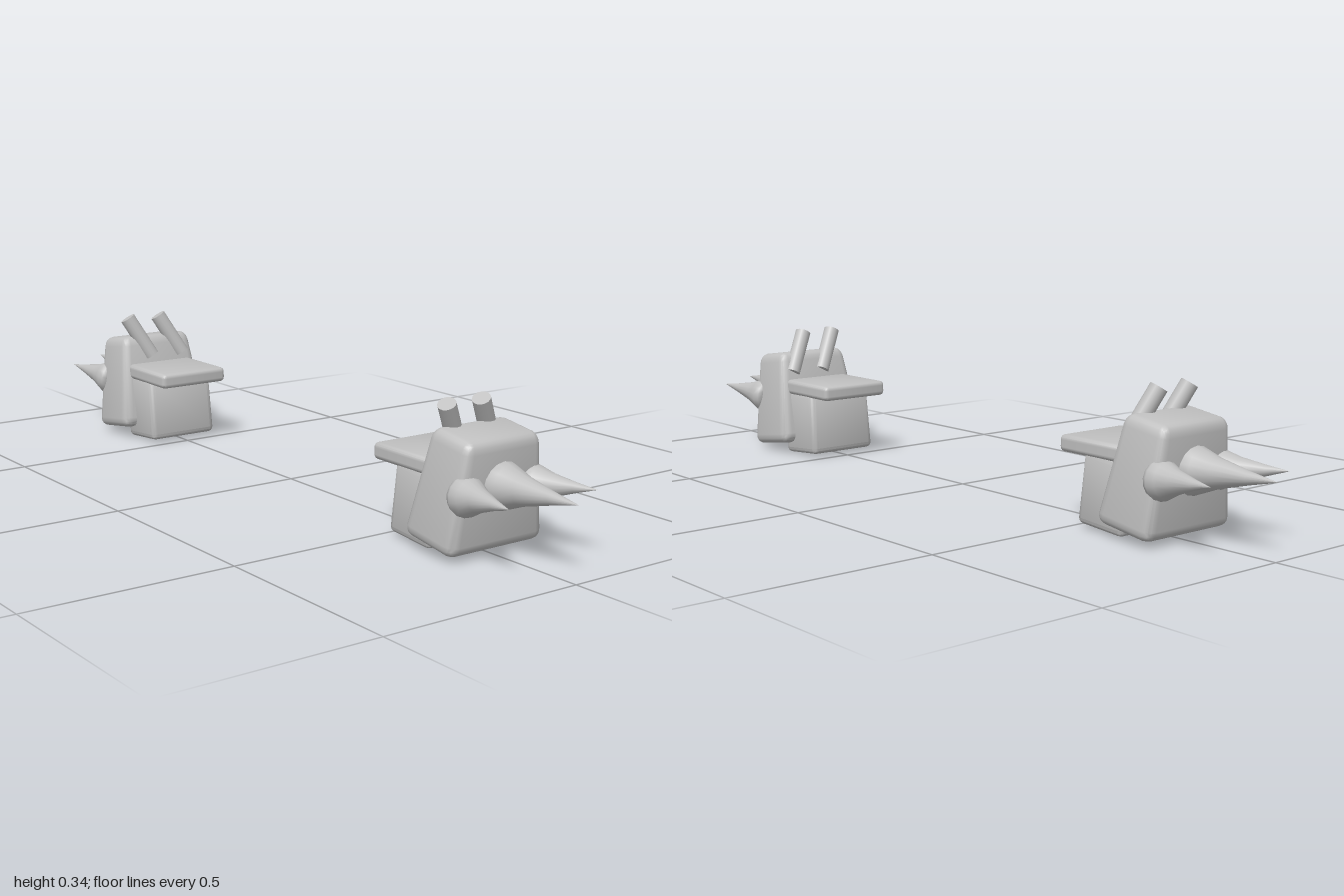
import * as THREE from 'three';
import { RoundedBoxGeometry } from 'three/addons/geometries/RoundedBoxGeometry.js';
import { toCreasedNormals } from 'three/addons/utils/BufferGeometryUtils.js';

const V = (x, y, z) => new THREE.Vector3(x, y, z);

// Bevelled block whose top is narrowed by the factors kx and kz.
function taperedBlock(w, h, d, radius, kx = 1, kz = 1) {
  const geo = new RoundedBoxGeometry(w, h, d, 2, radius);
  const p = geo.attributes.position;
  for (let i = 0; i < p.count; i++) {
    const t = p.getY(i) / h + 0.5;
    p.setX(i, p.getX(i) * (1 + (kx - 1) * t));
    p.setZ(i, p.getZ(i) * (1 + (kz - 1) * t));
  }
  return toCreasedNormals(geo, 0.6);
}

// Spike turned from a bulging base to a sharp tip.
function spikeGeometry(r, length) {
  const profile = [[0, 0], [0.7, 0], [0.93, 0.05], [1, 0.12], [0.85, 0.22], [0.6, 0.38], [0.27, 0.7], [0, 1]];
  return new THREE.LatheGeometry(profile.map(([a, b]) => new THREE.Vector2(a * r, b * length)), 16);
}

export function createModel() {
  const grey = new THREE.MeshStandardMaterial({ color: 0xc0c0c0 });
  grey.name = 'grey';

  function buildSide(name) {
    const side = new THREE.Group();
    side.name = name;
    const add = (part, geo, pos, tilt = 0) => {
      const mesh = new THREE.Mesh(geo, grey);
      mesh.name = part;
      mesh.position.copy(pos);
      mesh.rotation.z = tilt;
      side.add(mesh);
      return mesh;
    };
    const aim = (mesh, from, to) =>
      mesh.quaternion.setFromUnitVectors(V(0, 1, 0), to.clone().sub(from).normalize());

    // Main blocks
    add('shoulderPad', taperedBlock(0.165, 0.252, 0.276, 0.026, 0.76, 0.755), V(0.704, 0.146, 0), -0.145);
    add('innerBlock', taperedBlock(0.14, 0.17, 0.2, 0.015, 0.94, 0.96), V(0.592, 0.089, 0), -0.08);
    add('neckPlate', taperedBlock(0.205, 0.04, 0.2, 0.012), V(0.5595, 0.184, 0));

    // One large spike between two smaller ones
    const spikes = [
      ['middleSpike', 0.057, V(0.742, 0.157, 0), V(1, 0.167, 0)],
      ['frontSpike', 0.046, V(0.748, 0.145, 0.089), V(0.93, 0.163, 0.126)],
      ['backSpike', 0.046, V(0.748, 0.145, -0.089), V(0.93, 0.163, -0.126)],
    ];
    for (const [part, r, from, to] of spikes) {
      aim(add(part, spikeGeometry(r, from.distanceTo(to)), from), from, to);
    }

    // Two exhaust pipes leaning forwards and outwards
    for (const [part, z] of [['frontPipe', 0.08], ['backPipe', -0.018]]) {
      const top = V(0.683, 0.329, z);
      const base = V(0.653, 0.222, z - 0.058);
      const mid = top.clone().add(base).multiplyScalar(0.5);
      const geo = new THREE.CylinderGeometry(0.021, 0.021, top.distanceTo(base), 16);
      aim(add(part, geo, mid), base, top);
    }
    return side;
  }

  const model = new THREE.Group();
  model.name = 'shoulderArmour';
  const left = buildSide('leftShoulder');
  const right = buildSide('rightShoulder');
  right.scale.x = -1;
  model.add(left, right);
  return model;
}
